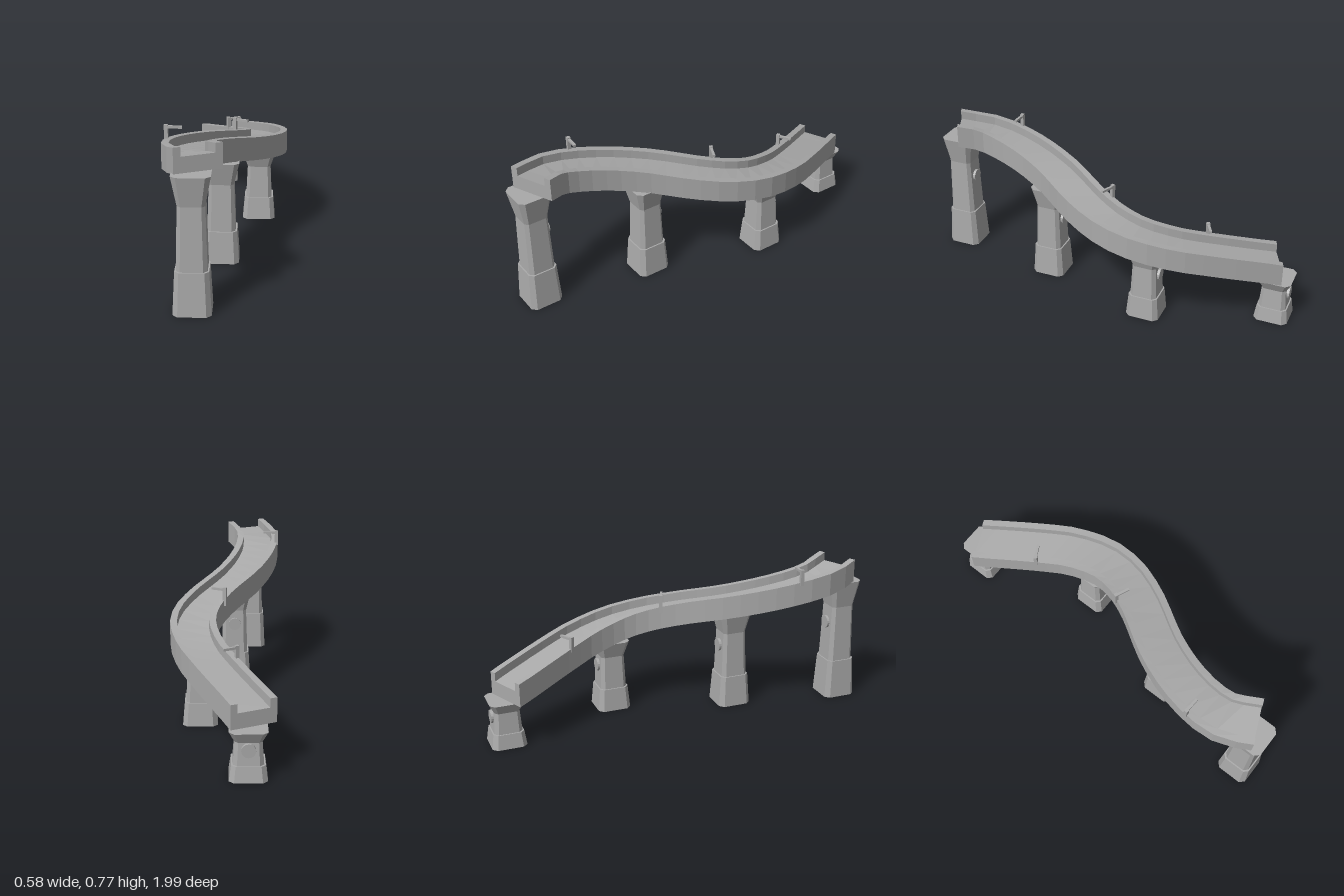
import * as THREE from 'three';

const stone = new THREE.MeshStandardMaterial({ color: 0xaaaaaa, side: THREE.DoubleSide, flatShading: true });
stone.name = 'grey stone';

function facesToGeometry(positions) {
  const geo = new THREE.BufferGeometry();
  geo.setAttribute('position', new THREE.Float32BufferAttribute(positions, 3));
  geo.computeVertexNormals();
  return geo;
}

function addMesh(parent, name, geo, x = 0, y = 0, z = 0) {
  const mesh = new THREE.Mesh(geo, stone);
  mesh.name = name;
  mesh.position.set(x, y, z);
  parent.add(mesh);
  return mesh;
}

// Winding channel deck: a U section swept along a falling S curve
function deckGeometry() {
  const plan = [[-0.113, 0.902], [-0.17, 0.77], [-0.175, 0.66], [-0.14, 0.49], [-0.06, 0.3], [0.09, 0.06],
    [0.155, -0.09], [0.175, -0.24], [0.135, -0.43], [0.066, -0.58], [-0.108, -0.905]];
  const curve = new THREE.CatmullRomCurve3(plan.map(([x, z]) => new THREE.Vector3(x, 0, z)));
  const w = 0.114, wi = w - 0.034, top = 0.119, floor = 0.075;
  const section = [[-w, 0], [w, 0], [w, top], [wi, top], [wi, floor], [-wi, floor], [-wi, top], [-w, top]];
  const steps = 24, rings = [];
  for (let i = 0; i <= steps; i++) {
    const t = i / steps, p = curve.getPointAt(t), d = curve.getTangentAt(t);
    const end = i === 0 || i === steps;
    const ux = end ? 0.917 : -d.z, uz = end ? -0.4 : d.x;
    const y = THREE.MathUtils.lerp(0.65, 0.235, t);
    rings.push(section.map(([s, h]) => [p.x + ux * s, y + h, p.z + uz * s]));
  }
  const pos = [];
  const quad = (a, b, c, d) => pos.push(...a, ...b, ...c, ...a, ...c, ...d);
  for (let i = 0; i < steps; i++) {
    for (let k = 0; k < 8; k++) {
      const n = (k + 1) % 8;
      quad(rings[i][k], rings[i + 1][k], rings[i + 1][n], rings[i][n]);
    }
  }
  const front = rings[0], back = rings[steps];
  for (const [a, b, c, d] of [[0, 1, 4, 5], [1, 2, 3, 4], [0, 5, 6, 7]]) {
    quad(front[a], front[b], front[c], front[d]);
    quad(back[d], back[c], back[b], back[a]);
  }
  return facesToGeometry(pos);
}

// Pillar: chamfered square rings stacked from foot to capital, open underneath
function pillarGeometry(height) {
  const levels = [[0, 0.0875, 0.023], [0.32, 0.077, 0.02], [0.32, 0.07, 0.019], [0.784, 0.062, 0.016], [1, 0.0875, 0.024]];
  const rings = levels.map(([f, r, c]) => {
    const k = r - c;
    return [[k, r], [r, k], [r, -k], [k, -r], [-k, -r], [-r, -k], [-r, k], [-k, r]]
      .map(([x, z]) => [x, f * height, z]);
  });
  const pos = [];
  for (let i = 0; i < rings.length - 1; i++) {
    for (let k = 0; k < 8; k++) {
      const n = (k + 1) % 8;
      const a = rings[i][k], b = rings[i][n], c = rings[i + 1][n], d = rings[i + 1][k];
      pos.push(...a, ...b, ...c, ...a, ...c, ...d);
    }
  }
  const cap = rings[rings.length - 1];
  for (let k = 1; k < 7; k++) pos.push(...cap[0], ...cap[k], ...cap[k + 1]);
  return facesToGeometry(pos);
}

function createPillar(x, z, height) {
  const pillar = new THREE.Group();
  pillar.name = 'pillar';
  pillar.position.set(x, 0, z);
  addMesh(pillar, 'pillarShaft', pillarGeometry(height));
  // Round plate on the back face
  const disc = new THREE.CylinderGeometry(0.033, 0.033, 0.022, 16).rotateX(Math.PI / 2);
  addMesh(pillar, 'roundPlate', disc, 0, height * 0.64, -0.066);
  return pillar;
}

// Lamp: a post on the rail with an arm reaching over the channel
function createLamp(x, z, base, top, angle) {
  const lamp = new THREE.Group();
  lamp.name = 'lamp';
  lamp.position.set(x, 0, z);
  lamp.rotation.y = angle;
  addMesh(lamp, 'lampPost', new THREE.BoxGeometry(0.018, top - base, 0.018), 0, (top + base) / 2, 0);
  addMesh(lamp, 'lampArm', new THREE.BoxGeometry(0.075, 0.012, 0.013), 0.036, top - 0.011, 0);
  return lamp;
}

export function createModel() {
  const model = new THREE.Group();
  model.name = 'slopingAqueduct';
  addMesh(model, 'channelDeck', deckGeometry());

  const pillars = [[-0.143, 0.908, 0.65], [-0.039, 0.326, 0.517], [0.14, -0.29, 0.377], [-0.083, -0.908, 0.235]];
  for (const p of pillars) model.add(createPillar(...p));

  const lamps = [[-0.279, 0.605, 0.69, 0.772, -0.06], [0.016, -0.048, 0.53, 0.625, -0.42], [-0.038, -0.545, 0.41, 0.487, 0.48]];
  for (const l of lamps) model.add(createLamp(...l));
  return model;
}
